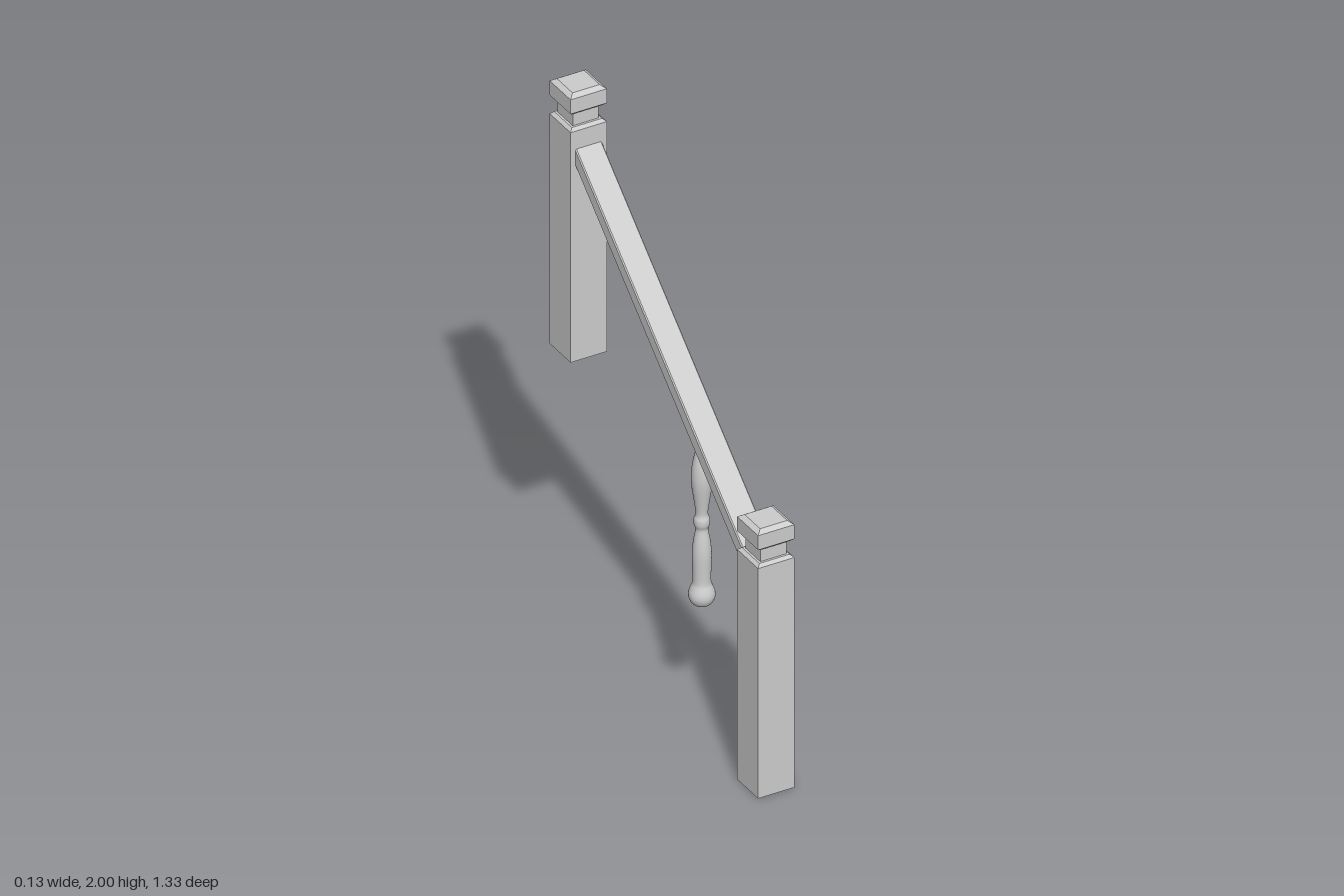
import * as THREE from 'three';

const wood = new THREE.MeshStandardMaterial({ color: 0xcccccc });
wood.name = 'pale grey wood';

const points = (list) => list.map(([r, y]) => new THREE.Vector2(r, y));

function flat(geometry) {
  const g = geometry.toNonIndexed();
  g.computeVertexNormals();
  return g;
}

function add(group, name, geometry) {
  const mesh = new THREE.Mesh(geometry, wood);
  mesh.name = name;
  group.add(mesh);
  return mesh;
}

// Square turned solid: profile of [half width, height]
function squareSolid(profile) {
  const g = new THREE.LatheGeometry(points(profile.map(([w, y]) => [w * Math.SQRT2, y])), 4);
  g.rotateY(Math.PI / 4);
  return flat(g);
}

function newelPost(name, y, z) {
  const post = new THREE.Group();
  post.name = name;
  post.position.set(0, y, z);
  add(post, 'postShaft', squareSolid([
    [0, 0], [0.067, 0], [0.067, 0.868], [0.056, 0.878], [0, 0.878],
  ]));
  add(post, 'postNeck', squareSolid([[0.048, 0.876], [0.048, 0.932]]));
  add(post, 'postCap', squareSolid([
    [0, 0.928], [0.056, 0.928], [0.067, 0.938], [0.067, 0.992], [0.05, 1.004], [0, 1.004],
  ]));
  return post;
}

export function createModel() {
  const model = new THREE.Group();
  model.name = 'stairRailing';

  // Lower post at the front, upper post at the back
  model.add(newelPost('lowerPost', 0, 0.598));
  model.add(newelPost('upperPost', 0.996, -0.598));

  // Sloping handrail with plumb ends, its upper edges slightly eased
  const section = new THREE.Shape(points([
    [-0.049, 0], [0.049, 0], [0.049, 0.055], [0.045, 0.06], [-0.045, 0.06], [-0.049, 0.055],
  ]));
  const length = 1.064;
  const rail = new THREE.ExtrudeGeometry(section, { depth: length, bevelEnabled: false });
  rail.translate(0, 0, -length / 2);
  const p = rail.attributes.position;
  for (let i = 0; i < p.count; i++) p.setY(i, p.getY(i) + 1.272 - 0.873 * p.getZ(i));
  add(model, 'handrail', flat(rail));

  // Turned baluster hanging below the rail
  const upper = points([
    [0.02, 0.457], [0.034, 0.466], [0.043, 0.485], [0.043, 0.505], [0.036, 0.525],
    [0.03, 0.545], [0.031, 0.6], [0.032, 0.65], [0.028, 0.695], [0.022, 0.73],
    [0.021, 0.745], [0.026, 0.76], [0.026, 0.78], [0.02, 0.8], [0.026, 0.85],
    [0.033, 0.9], [0.035, 0.94], [0.031, 0.985], [0.021, 1.035], [0.02, 1.047],
    [0.025, 1.06], [0.025, 1.075], [0.019, 1.1], [0.016, 1.12],
  ]);
  const curve = new THREE.SplineCurve(upper).getPoints(69);
  const turned = [new THREE.Vector2(0, 0.457), ...curve, new THREE.Vector2(0, 1.12)];
  add(model, 'baluster', new THREE.LatheGeometry(turned, 28)).position.z = 0.19;

  return model;
}
